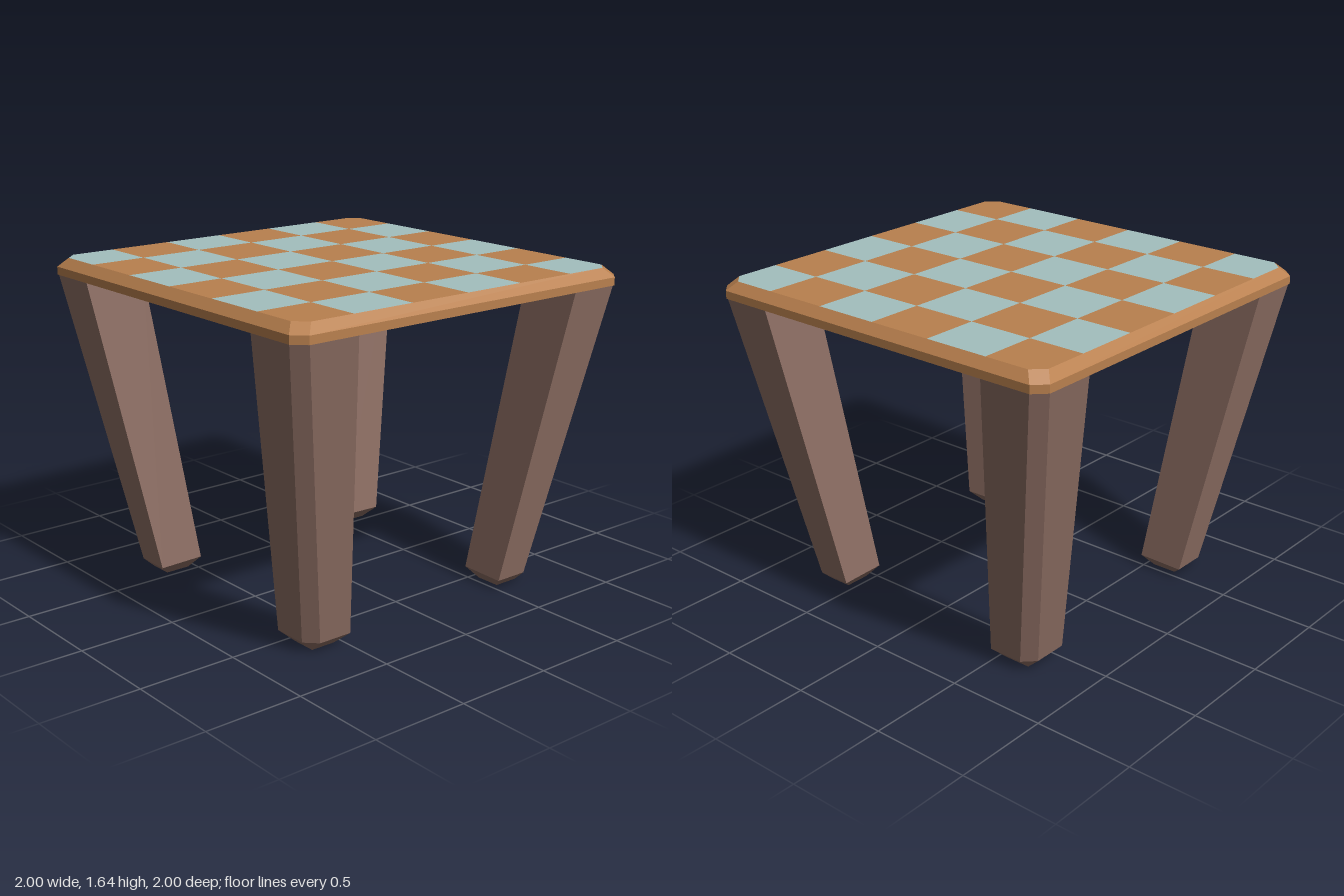
import * as THREE from 'three';

const WOOD = 0xb9804e, TILE = 0xa3bfbe, LEG = 0x8d6e63, UNDER = 0x888888;

const material = (color) => new THREE.MeshStandardMaterial({ color, flatShading: true });

function addMesh(parent, name, geometry, color) {
  const mesh = new THREE.Mesh(geometry, material(color));
  mesh.name = name;
  parent.add(mesh);
  return mesh;
}

// Joins rings of points, bottom to top, each anticlockwise seen from above
function loft(rings, capBottom) {
  const pos = [];
  const tri = (a, b, c) => {
    const area = b.clone().sub(a).cross(c.clone().sub(a)).length();
    if (area > 1e-8) for (const p of [a, b, c]) pos.push(p.x, p.y, p.z);
  };
  for (let r = 0; r + 1 < rings.length; r++) {
    const lo = rings[r], hi = rings[r + 1], n = lo.length;
    for (let i = 0; i < n; i++) {
      const j = (i + 1) % n;
      tri(lo[i], lo[j], hi[j]);
      tri(lo[i], hi[j], hi[i]);
    }
  }
  if (capBottom) {
    const b = rings[0];
    for (let i = 1; i + 1 < b.length; i++) tri(b[0], b[i + 1], b[i]);
  }
  const geometry = new THREE.BufferGeometry();
  geometry.setAttribute('position', new THREE.Float32BufferAttribute(pos, 3));
  geometry.computeVertexNormals();
  return geometry;
}

// Square outline with cut corners
function cutSquare(h, cut, y) {
  const k = h - cut;
  return [[h, k], [h, -k], [k, -h], [-k, -h], [-h, -k], [-h, k], [-k, h], [k, h]]
    .map(([x, z]) => new THREE.Vector3(x, y, z));
}

// Leg section: square inner corner, cut outer corner
function legRing(outer, cut, inner, y, innerY = y) {
  const k = outer - cut;
  return [
    new THREE.Vector3(outer, y, k),
    new THREE.Vector3(outer, y, inner),
    new THREE.Vector3(inner, innerY, inner),
    new THREE.Vector3(inner, y, outer),
    new THREE.Vector3(k, y, outer),
  ];
}

// Flat upward-facing polygon from [x, z] points
function flatPolygon(points, y) {
  const shape = new THREE.Shape(points.map(([x, z]) => new THREE.Vector2(x, -z)));
  return new THREE.ShapeGeometry(shape).rotateX(-Math.PI / 2).translate(0, y, 0);
}

export function createModel() {
  const model = new THREE.Group();
  model.name = 'checkeredTable';
  const bottomY = 1.56, bevelY = 1.6, topY = 1.645, half = 0.957, cut = 0.06;

  // Table rim: upright edge and bevel
  addMesh(model, 'tabletopRim', loft([
    cutSquare(1, cut, bottomY), cutSquare(1, cut, bevelY), cutSquare(half, cut, topY),
  ], false), WOOD);

  // Underside
  const under = flatPolygon(cutSquare(1, cut, 0).map((p) => [p.x, p.z]), 0);
  under.rotateX(Math.PI).translate(0, bottomY, 0);
  addMesh(model, 'tabletopUnderside', under, UNDER);

  // Checkered top, six by six, with the corner tiles trimmed
  const board = new THREE.Group();
  board.name = 'checkeredTop';
  model.add(board);
  const edge = (i) => THREE.MathUtils.clamp(-1 + i / 3, -half, half);
  for (let i = 0; i < 6; i++) {
    for (let j = 0; j < 6; j++) {
      const corners = [[edge(i), edge(j + 1)], [edge(i + 1), edge(j + 1)],
        [edge(i + 1), edge(j)], [edge(i), edge(j)]];
      const points = corners.flatMap(([x, z], c) => {
        if (Math.abs(x) < half || Math.abs(z) < half) return [[x, z]];
        const alongX = [x - Math.sign(x) * cut, z], alongZ = [x, z - Math.sign(z) * cut];
        return c % 2 ? [alongX, alongZ] : [alongZ, alongX];
      });
      addMesh(board, 'tile', flatPolygon(points, topY), (i + j) % 2 ? WOOD : TILE);
    }
  }

  // Four splayed legs with tapered feet
  const legGeometry = loft([
    legRing(0.67, 0, 0.54, 0),
    legRing(0.73, 0.06, 0.49, 0.055, 0.06),
    legRing(0.995, 0.06, 0.67, bottomY),
  ], true);
  ['frontLeftLeg', 'backLeftLeg', 'backRightLeg', 'frontRightLeg'].forEach((name, i) => {
    addMesh(model, name, legGeometry, LEG).rotation.y = i * Math.PI / 2;
  });

  return model;
}
